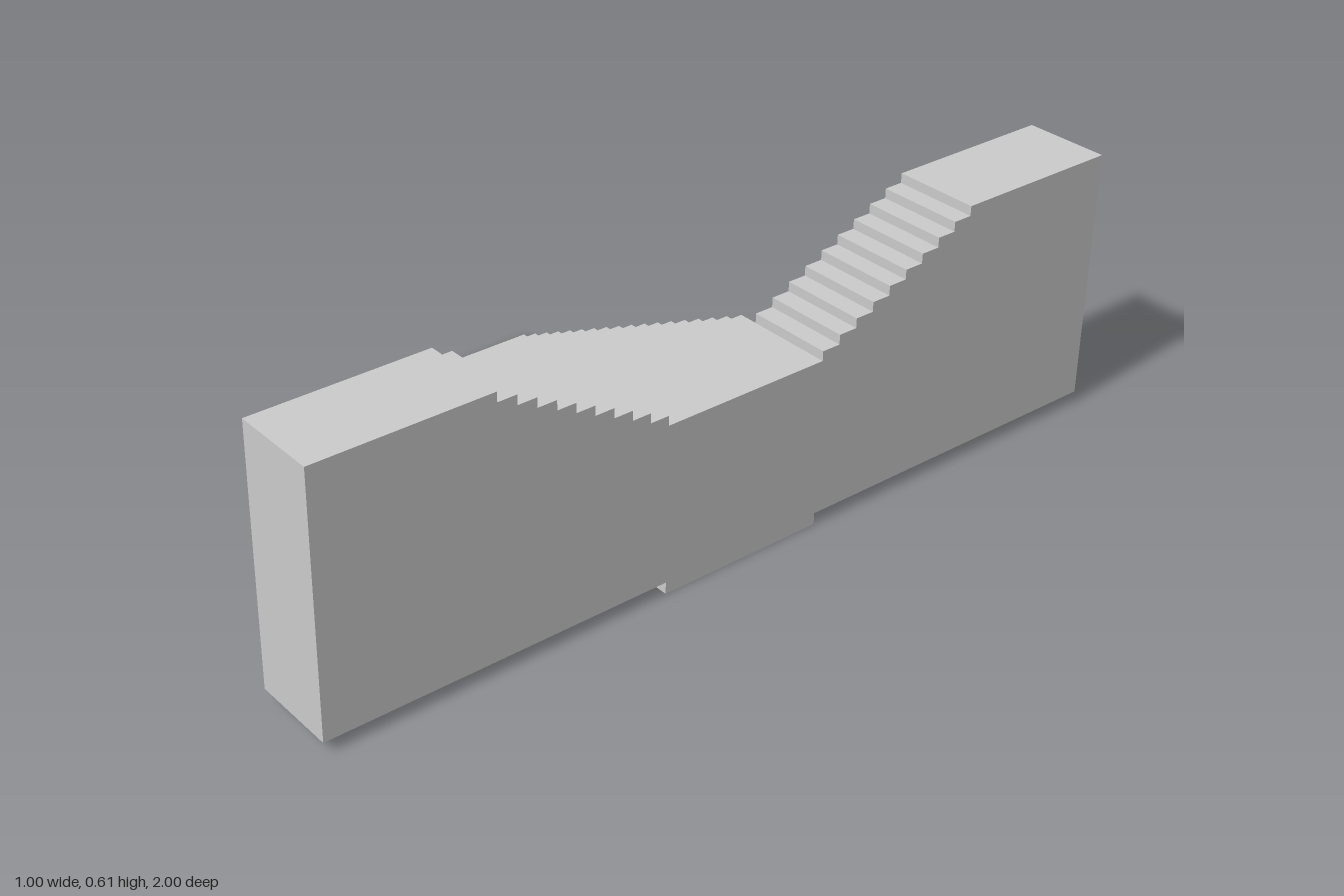
import * as THREE from 'three';

const RUN = 0.8 / 18, RISE = 0.0222, FIRST = 0.0125;
const LANDING = FIRST + 17 * RISE, TOP = LANDING + 10 * RISE, WALL_BASE = 0.027;
const HOLLOW = 8; // lowest steps that are open underneath

const material = new THREE.MeshStandardMaterial({ color: 0xcccccc, flatShading: true });

function extrude(points, depth, z) {
  const shape = new THREE.Shape(points.map(([x, y]) => new THREE.Vector2(x, y)));
  return new THREE.ExtrudeGeometry(shape, { depth, bevelEnabled: false }).translate(0, 0, z);
}

// Zigzag of risers and treads: each step climbs from its foot to height y0 + i * RISE
function zigzag(from, to, x0, y0) {
  const pts = [];
  for (let i = from; i < to; i++) {
    const y = y0 + i * RISE;
    pts.push([x0 + i * RUN, y], [x0 + (i + 1) * RUN, y]);
  }
  return pts;
}

export function createModel() {
  const group = new THREE.Group();
  const add = (name, geometry) => {
    const mesh = new THREE.Mesh(geometry, material);
    mesh.name = name;
    group.add(mesh);
  };

  // Solid upper part of the main flight
  const split = -0.5 + HOLLOW * RUN;
  add('mainFlight', extrude([[split, 0], ...zigzag(HOLLOW, 18, -0.5, FIRST), [0.3, 0]], 0.4, -0.2));

  // Thin stepped shell of the lowest steps, open below
  const t = 0.006;
  const upper = zigzag(0, HOLLOW, -0.5, FIRST);
  const under = upper.map(([x, y], i) => [i % 2 || i === 0 ? x + t : x + t, y - t]).reverse();
  under[0][0] = split;
  add('lowerSteps', extrude([[-0.5, 0], ...upper, ...under, [-0.5 + t, 0]], 0.4, -0.2));

  // Two side stringers and a middle one carrying the shell
  const stringer = [[-0.5 + t, 0], ...under.slice().reverse(), [split, 0]];
  const w = 0.006;
  [['rightStringer', -0.2], ['middleStringer', -w / 2], ['leftStringer', 0.2 - w]]
    .forEach(([name, z]) => add(name, extrude(stringer, w, z)));

  // Cross wall: landing in the middle, a flight and a platform on each side
  const half = [[0.2, LANDING], ...zigzag(0, 9, 0.2, LANDING + RISE),
    [0.6, TOP], [1, TOP], [1, WALL_BASE], [0.2, WALL_BASE], [0.2, 0]];
  const mirrored = half.map(([x, y]) => [-x, y]).reverse();
  add('landingAndSideFlights',
    extrude([...half, ...mirrored], 0.2, 0).rotateY(Math.PI / 2).translate(0.3, 0, 0));

  return group;
}
